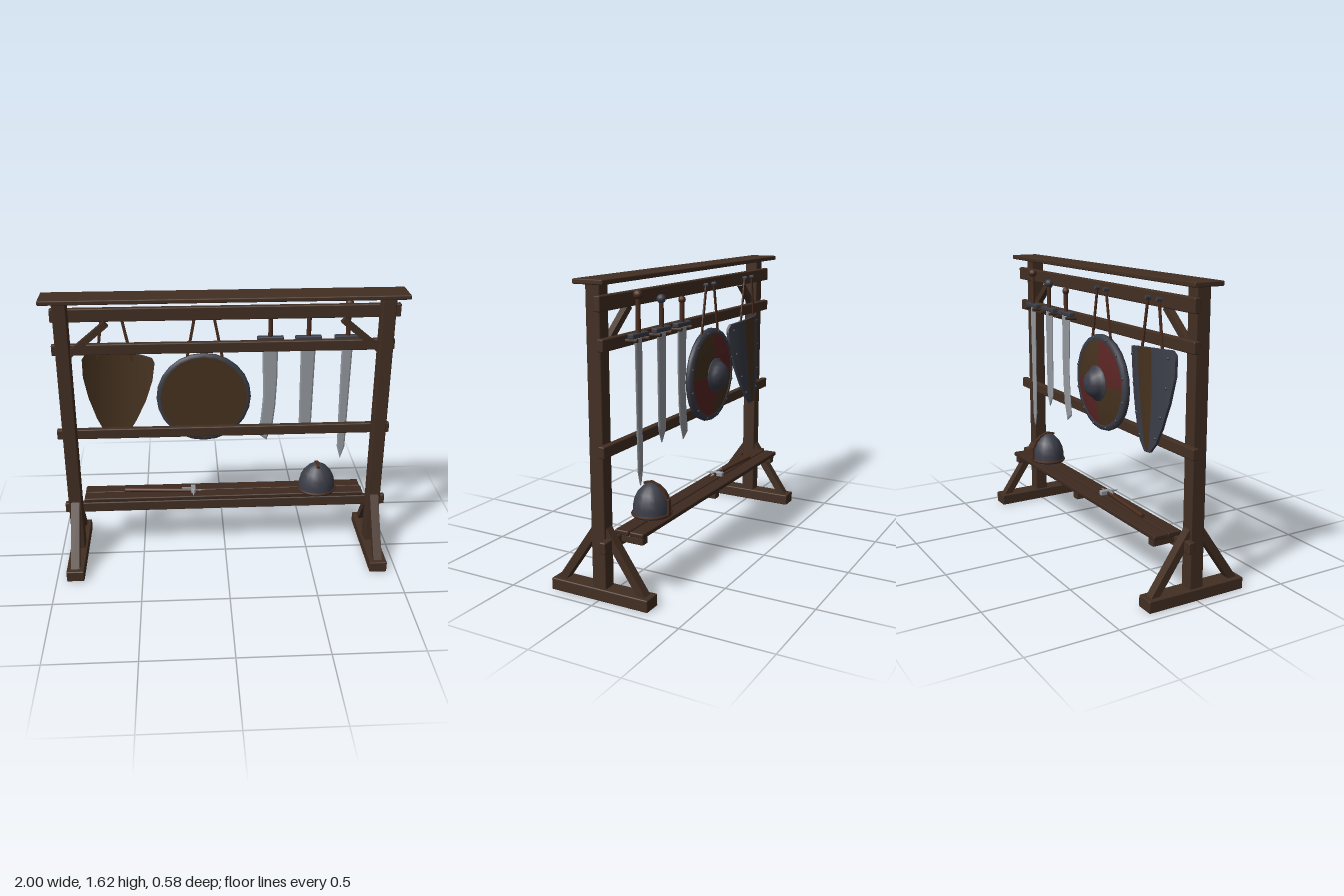
import * as THREE from 'three';
import { RoundedBoxGeometry } from 'three/addons/geometries/RoundedBoxGeometry.js';
import { ParametricGeometry } from 'three/addons/geometries/ParametricGeometry.js';

const mat = (name, color, side = THREE.FrontSide) => {
  const m = new THREE.MeshStandardMaterial({ color, side });
  m.name = name;
  return m;
};

export function createModel() {
  const model = new THREE.Group();
  model.name = 'armsRack';
  const wood = mat('wood', 0x432f23);
  const plank = mat('plankWood', 0x3e2a20);
  const board = mat('shieldBoard', 0x46321f, THREE.DoubleSide);
  const iron = mat('darkIron', 0x3b3d48, THREE.DoubleSide);
  const steel = mat('steel', 0x94989e);
  const red = mat('redPaint', 0x5a2524, THREE.DoubleSide);
  const leather = mat('leather', 0x4a2c1e);

  const add = (name, geo, m, parent = model) => {
    const mesh = new THREE.Mesh(geo, m);
    mesh.name = name;
    parent.add(mesh);
    return mesh;
  };
  const group = (name) => {
    const g = new THREE.Group();
    g.name = name;
    model.add(g);
    return g;
  };
  // Chamfered box given by its extents
  const box = (name, x0, x1, y0, y1, z0, z1, m = wood, parent = model) => {
    const w = x1 - x0, h = y1 - y0, d = z1 - z0;
    const geo = new RoundedBoxGeometry(w, h, d, 1, Math.min(0.006, w / 4, h / 4, d / 4));
    const mesh = add(name, geo, m, parent);
    mesh.position.set((x0 + x1) / 2, (y0 + y1) / 2, (z0 + z1) / 2);
    return mesh;
  };
  // Square bar or round rod between two points
  const beam = (name, a, b, w, h, m, parent = model, round = false) => {
    const p = new THREE.Vector3(...a), q = new THREE.Vector3(...b), len = p.distanceTo(q);
    const geo = round ? new THREE.CylinderGeometry(w, w, len, 8) : new THREE.BoxGeometry(w, len, h);
    const mesh = add(name, geo, m, parent);
    mesh.position.copy(p).add(q).multiplyScalar(0.5);
    mesh.quaternion.setFromUnitVectors(new THREE.Vector3(0, 1, 0), q.sub(p).normalize());
    return mesh;
  };
  const rod = (name, a, b, r, m, parent) => beam(name, a, b, r, r, m, parent, true);

  // End frames: foot, post, foot braces and upper corner brace
  for (const s of [-1, 1]) {
    const x = s * 0.89;
    box('foot', x - 0.051, x + 0.051, 0, 0.065, -0.29, 0.29);
    box('post', x - 0.038, x + 0.038, 0.06, 1.605, -0.04, 0.04);
    for (const t of [-1, 1])
      beam('footBrace', [x, 0.055, t * 0.245], [x, 0.375, t * 0.025], 0.05, 0.042, wood);
    beam('cornerBrace', [s * 0.86, 1.295, -0.02], [s * 0.65, 1.47, -0.02], 0.036, 0.034, wood);
  }
  box('topCap', -1, 1, 1.6, 1.625, -0.108, 0.062);

  // Rails fixed behind the posts
  for (const [x0, x1, y0, y1] of [[-0.955, 0.975, 1.472, 1.547], [-0.96, 0.955, 1.28, 1.342],
    [-0.97, 0.965, 0.762, 0.822], [-0.96, 0.975, 0.273, 0.335]])
    box('rail', x0, x1, y0, y1, -0.073, -0.037);

  // Shelf
  box('shelfPlank', -0.845, 0.84, 0.335, 0.36, -0.122, -0.04, plank);
  box('shelfPlank', -0.845, 0.835, 0.333, 0.358, -0.205, -0.125, plank);
  for (const x of [-0.8, 0, 0.8]) box('shelfSupport', x - 0.025, x + 0.025, 0.293, 0.334, -0.198, -0.06);

  // Heater shield: curved sheet with a central painted band
  const heater = group('heaterShield');
  heater.position.set(-0.615, 1.0, 0);
  heater.rotation.z = -0.08;
  const outline = [[0, 0.185], [0.05, 0.202], [0.25, 0.195], [0.5, 0.163], [0.75, 0.115], [0.9, 0.075], [1, 0.025]];
  const halfWidth = (v) => {
    let i = 1;
    while (i < outline.length - 1 && outline[i][0] < v) i++;
    const [a, wa] = outline[i - 1], [b, wb] = outline[i];
    return wa + (wb - wa) * (v - a) / (b - a);
  };
  const onShield = (u, v, t, out) => {
    const x = u * halfWidth(v);
    out.set(x, 0.27 - v * 0.54 - 0.01 * u * u * (1 - v), -0.122 + 1.35 * x * x + 0.016 * t);
  };
  const sheet = (name, u0, u1, t, m) => add(name,
    new ParametricGeometry((a, v, o) => onShield(u0 + (u1 - u0) * a, v, t, o), 8, 20), m, heater);
  sheet('shieldBack', -1, 1, 1, board);
  sheet('shieldSide', -1, -0.32, 0, iron);
  sheet('shieldBand', -0.32, 0.32, 0, board);
  sheet('shieldSide', 0.32, 1, 0, iron);
  for (const e of [-1, 1]) {
    add('shieldEdge', new ParametricGeometry((a, v, o) => onShield(e, v, a, o), 1, 20), iron, heater);
    add('shieldEdge', new ParametricGeometry((a, u, o) => onShield(u * 2 - 1, e < 0 ? 0 : 1, a, o), 1, 12), iron, heater);
    for (const v of [0.08, 0.36, 0.64, 0.85]) {
      const rivet = add('rivet', new THREE.SphereGeometry(0.008, 8, 6), iron, heater);
      onShield(e * 0.82, v, 0, rivet.position);
    }
  }

  // Round shield: domed quarters, iron rim and boss
  const round = group('roundShield');
  round.position.set(-0.12, 0.993, -0.07);
  round.rotation.x = -Math.PI / 2;
  const V = (pts) => pts.map(([x, y]) => new THREE.Vector2(x, y));
  const dome = V([[0.25, 0.028], [0.2, 0.038], [0.13, 0.048], [0.06, 0.052]]);
  for (let i = 0; i < 4; i++)
    add('shieldQuarter', new THREE.LatheGeometry(dome, 6, i * Math.PI / 2, Math.PI / 2), i % 2 ? red : board, round);
  add('rim', new THREE.LatheGeometry(V([[0.247, 0], [0.268, 0], [0.272, 0.015], [0.266, 0.03], [0.24, 0.036], [0.24, 0.026]]), 24), iron, round);
  add('back', new THREE.CircleGeometry(0.25, 24), board, round).rotation.x = Math.PI / 2;
  add('boss', new THREE.LatheGeometry(V([[0.1, 0.046], [0.1, 0.057], [0.083, 0.06], [0.078, 0.08], [0.062, 0.102], [0.036, 0.116], [0, 0.122]]), 16), iron, round);
  for (let i = 0; i < 12; i++) {
    const a = (i + 0.5) * Math.PI / 6;
    add('rivet', new THREE.SphereGeometry(0.008, 8, 6), iron, round)
      .position.set(0.253 * Math.sin(a), 0.033, 0.253 * Math.cos(a));
  }

  // Hanging straps and their pegs
  for (const [xb, xt, yb] of [[-0.715, -0.675, 1.24], [-0.52, -0.575, 1.22], [-0.215, -0.16, 1.22], [-0.01, -0.065, 1.22]]) {
    beam('strap', [xb, yb, -0.085], [xt, 1.51, -0.085], 0.016, 0.008, leather);
    rod('peg', [xt, 1.51, -0.06], [xt, 1.515, -0.1], 0.011, iron);
  }

  // Swords hanging point down, guards resting on pairs of pegs
  const sword = (name, x, outlinePts, pommelY, pommelR, pommelMat) => {
    const g = group(name);
    g.position.set(x, 0, -0.11);
    const geo = new THREE.ExtrudeGeometry(new THREE.Shape(V(outlinePts)),
      { depth: 0.004, bevelEnabled: true, bevelThickness: 0.004, bevelSize: 0.008, bevelOffset: -0.008, bevelSegments: 1 });
    geo.translate(0, 0, -0.002);
    add('blade', geo, steel, g);
    box('guard', -0.075, 0.075, 1.322, 1.347, -0.018, 0.018, iron, g);
    rod('grip', [0, 1.34, 0], [0, pommelY, 0], 0.013, leather, g);
    add('pommel', new THREE.SphereGeometry(pommelR, 12, 8), pommelMat, g).position.y = pommelY;
    for (const s of [-1, 1])
      rod('peg', [s * 0.056, 1.311, 0.045], [s * 0.056, 1.314, -0.03], 0.01, wood, g);
  };
  sword('falchion', 0.26, [[-0.045, 1.325], [-0.035, 0.98], [-0.045, 0.85], [-0.06, 0.735], [-0.01, 0.697],
    [0.025, 0.8], [0.038, 0.92], [0.045, 1.08], [0.045, 1.325]], 1.465, 0.02, leather);
  sword('broadSword', 0.477, [[-0.043, 1.325], [-0.037, 0.8], [0.005, 0.735], [0.036, 0.81], [0.043, 1.325]], 1.49, 0.024, iron);
  sword('longSword', 0.7, [[-0.032, 1.325], [-0.024, 0.64], [-0.002, 0.56], [0.022, 0.64], [0.032, 1.325]], 1.532, 0.024, leather);

  // Helmet with brow band, crest and nose guard
  const helmet = group('helmet');
  helmet.position.set(0.562, 0.36, -0.095);
  add('dome', new THREE.LatheGeometry(V([[0.11, 0], [0.109, 0.05], [0.1, 0.09], [0.082, 0.126], [0.055, 0.155], [0.025, 0.173], [0, 0.178]]), 16), iron, helmet)
    .scale.z = 0.92;
  const band = add('browBand', new THREE.TorusGeometry(0.109, 0.009, 6, 24), leather, helmet);
  band.rotation.x = Math.PI / 2;
  band.scale.y = 0.92;
  band.position.y = 0.012;
  const crest = [[0.168, 0.045], [0.18, 0], [0.163, -0.045], [0.133, -0.078], [0.094, -0.096]];
  for (let i = 0; i < crest.length - 1; i++)
    beam('crest', [0, ...crest[i]], [0, ...crest[i + 1]], 0.018, 0.012, leather, helmet);
  box('noseGuard', -0.012, 0.012, 0.005, 0.1, -0.109, -0.097, leather, helmet);

  // War hammer lying on the shelf
  const hammer = group('warHammer');
  rod('handle', [-0.605, 0.372, -0.12], [-0.16, 0.372, -0.09], 0.012, leather, hammer);
  box('hammerHead', -0.205, -0.175, 0.36, 0.388, -0.14, -0.075, steel, hammer);
  const beak = add('beak', new THREE.ConeGeometry(0.013, 0.06, 6), steel, hammer);
  beak.position.set(-0.19, 0.374, -0.05);
  beak.rotation.x = Math.PI / 2;
  const spike = add('spike', new THREE.ConeGeometry(0.011, 0.07, 6), steel, hammer);
  spike.position.set(-0.15, 0.374, -0.09);
  spike.rotation.z = -Math.PI / 2;
  beam('langet', [-0.26, 0.385, -0.097], [-0.19, 0.385, -0.092], 0.014, 0.006, steel, hammer);

  return model;
}
